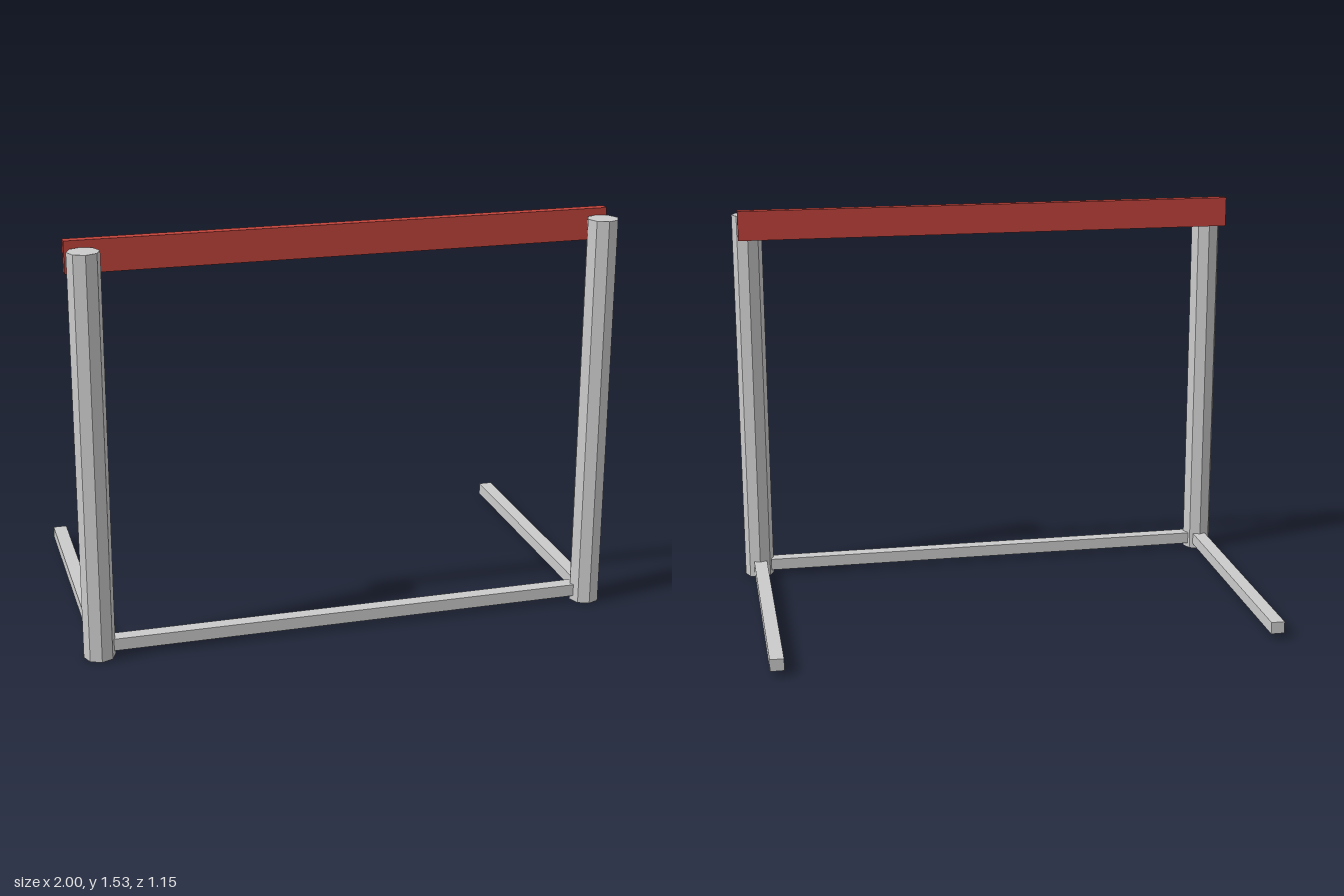
import * as THREE from 'three';

export function createModel() {
  const model = new THREE.Group();
  const hurdle = new THREE.Group();
  hurdle.name = 'hurdle';
  // the whole frame stands turned by a fraction of a degree
  hurdle.rotation.y = -0.006;
  hurdle.position.x = 0.003;
  model.add(hurdle);

  const grey = new THREE.MeshStandardMaterial({ color: 0xcccccc, flatShading: true });
  const red = new THREE.MeshStandardMaterial({ color: 0xc2433c, flatShading: true });

  const add = (name, geometry, material, x, y, z) => {
    const mesh = new THREE.Mesh(geometry, material);
    mesh.name = name;
    mesh.position.set(x, y, z);
    hurdle.add(mesh);
  };

  // octagonal uprights, each with a foot running backwards
  for (const [side, s] of [['left', 1], ['right', -1]]) {
    add(side + 'Post', new THREE.CylinderGeometry(0.058, 0.058, 1.5, 8), grey, s * 0.942, 0.75, 0.51);
    add(side + 'Foot', new THREE.BoxGeometry(0.052, 0.046, 1.042), grey, s * 0.94, 0.043, -0.051);
  }

  // low bar between the posts
  add('baseBar', new THREE.BoxGeometry(1.79, 0.046, 0.052), grey, 0, 0.043, 0.501);

  // red top rail fixed behind the posts
  add('topRail', new THREE.BoxGeometry(1.98, 0.116, 0.035), red, -0.01, 1.468, 0.437);

  return model;
}
